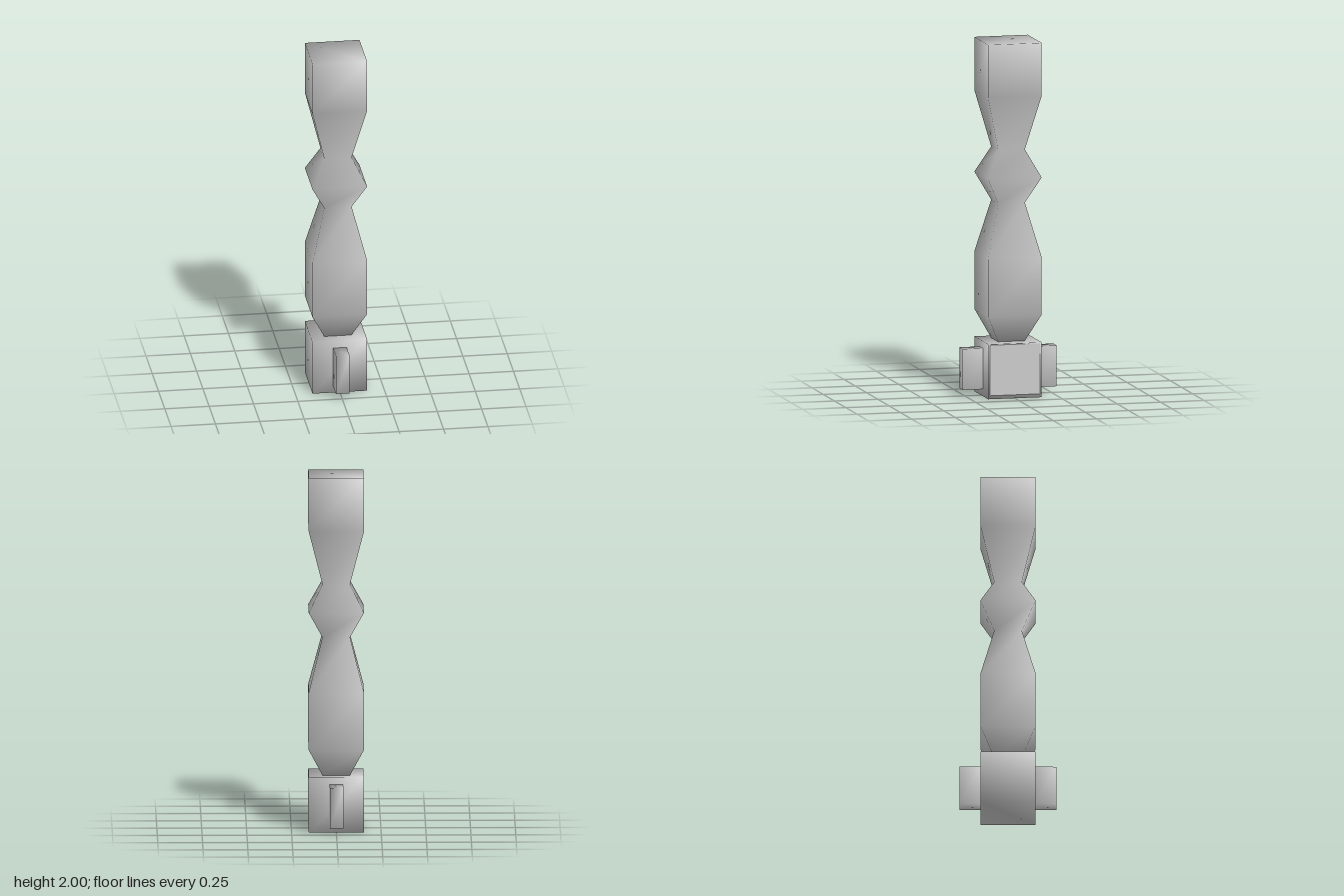
import * as THREE from 'three';

const material = new THREE.MeshStandardMaterial({ color: 0xcccccc });

// Closed square-section loft; each ring is [y, half width x, half depth z].
// Corners are shared so the shading rolls softly over the edges.
function squareLoft(name, rings) {
  const positions = [];
  const index = [];
  for (const [y, hx, hz] of rings) {
    positions.push(hx, y, hz, hx, y, -hz, -hx, y, -hz, -hx, y, hz);
  }
  for (let r = 0; r < rings.length - 1; r++) {
    for (let i = 0; i < 4; i++) {
      const a = r * 4 + i, b = r * 4 + (i + 1) % 4;
      index.push(a, b, b + 4, a, b + 4, a + 4);
    }
  }
  const t = (rings.length - 1) * 4;
  index.push(0, 2, 1, 0, 3, 2, t, t + 1, t + 2, t, t + 2, t + 3);
  const geometry = new THREE.BufferGeometry();
  geometry.setAttribute('position', new THREE.Float32BufferAttribute(positions, 3));
  geometry.setIndex(index);
  geometry.computeVertexNormals();
  const mesh = new THREE.Mesh(geometry, material);
  mesh.name = name;
  return mesh;
}

export function createModel() {
  const group = new THREE.Group();
  group.name = 'squareBaluster';
  const wide = 0.154, narrow = 0.077;

  // Tapered shaft with a pinched collar
  const profile = [
    [0.31, narrow], [0.465, wide], [0.79, wide], [1.09, narrow],
    [1.24, wide], [1.39, narrow], [1.7, wide], [2, wide],
  ];
  group.add(squareLoft('shaft', profile.map(([y, h]) => [y, h, h])));

  // Base block
  group.add(squareLoft('baseBlock', [[0, wide, wide], [0.31, wide, wide]]));

  // Flat panel on the left side of the block
  const panel = new THREE.Mesh(new THREE.BoxGeometry(0.002, 0.285, 0.288), material);
  panel.name = 'sidePanel';
  panel.position.set(wide, 0.162, 0);
  group.add(panel);

  // Tabs on the front and back of the block
  for (const [name, side] of [['frontTab', 1], ['backTab', -1]]) {
    const tab = squareLoft(name, [[0.04, 0.038, 0.06], [0.27, 0.038, 0.06]]);
    tab.position.z = side * 0.211;
    group.add(tab);
  }
  return group;
}
